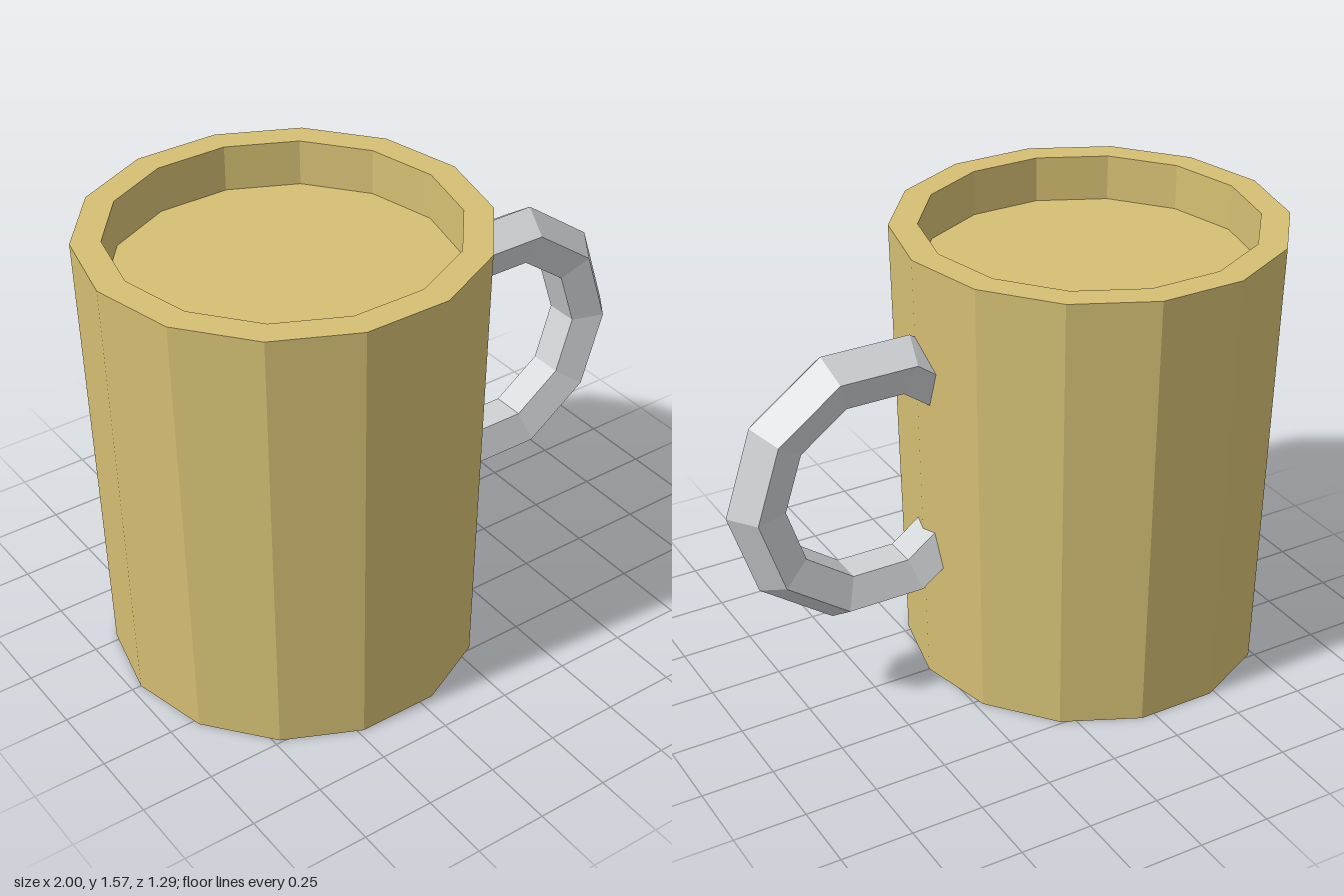
import * as THREE from 'three';

export function createModel() {
  const model = new THREE.Group();
  const paint = (name, color) => {
    const m = new THREE.MeshStandardMaterial({ color, flatShading: true });
    m.name = name;
    return m;
  };
  const tan = paint('tan', 0xd6c074);
  const grey = paint('lightGrey', 0xd0d3d5);
  const brown = paint('coffeeBrown', 0x7f5f4c);
  const add = (name, geometry, material, x, y) => {
    const mesh = new THREE.Mesh(geometry, material);
    mesh.name = name;
    mesh.position.set(x, y, 0);
    model.add(mesh);
    return mesh;
  };

  const sides = 14, cupX = -0.34, floorY = 1.41;

  // Slightly flared cup with a thick rim and a shallow recess
  const profile = [[0, 0], [0.627, 0], [0.66, 1.57], [0.564, 1.57], [0.564, floorY], [0, floorY]]
    .map(([r, y]) => new THREE.Vector2(r, y));
  add('cup', new THREE.LatheGeometry(profile, sides, Math.PI / 2), tan, cupX, 0);

  // Drink surface, lying just beneath the floor of the recess
  const drink = add('drink', new THREE.CircleGeometry(0.558, sides), brown, cupX, floorY - 0.0005);
  drink.rotation.x = -Math.PI / 2;

  // Ten-segment ring handle with a five-sided section, sunk into the cup wall
  add('handle', new THREE.TorusGeometry(0.41, 0.1, 5, 10), grey, 0.49, 0.83);

  return model;
}
